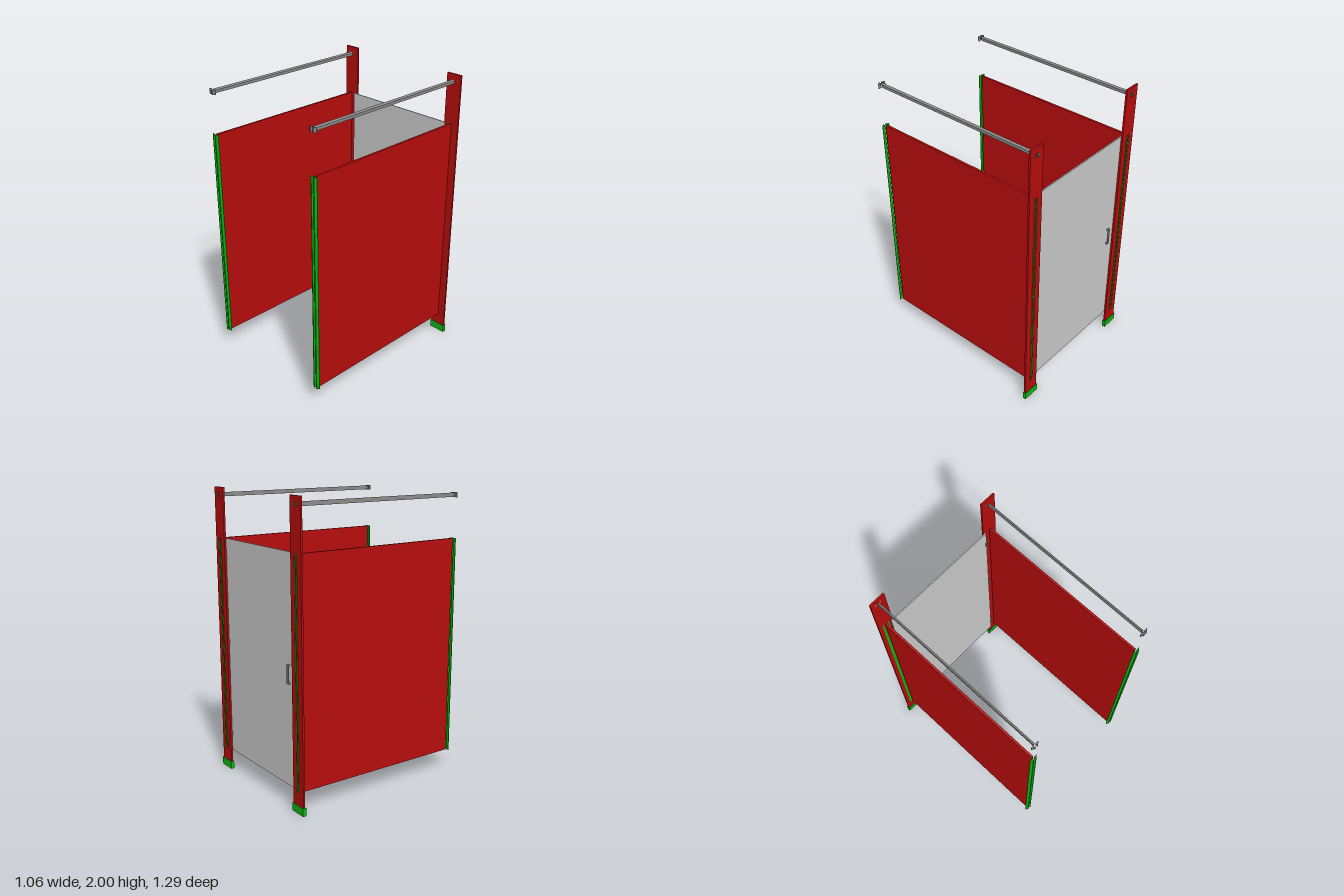
import * as THREE from 'three';

const mat = (color) => new THREE.MeshStandardMaterial({ color, side: THREE.DoubleSide });

export function createModel() {
  const root = new THREE.Group();
  const red = mat(0xb80d0d), green = mat(0x0bb512), grey = mat(0xcccccc), steel = mat(0x8c8c8c);

  const add = (name, geometry, material, parent = root) => {
    const mesh = new THREE.Mesh(geometry, material);
    mesh.name = name;
    parent.add(mesh);
    return mesh;
  };
  // box given by its limits on each axis
  const box = (name, material, [x0, x1], [y0, y1], [z0, z1], parent) => {
    const mesh = add(name, new THREE.BoxGeometry(x1 - x0, y1 - y0, z1 - z0), material, parent);
    mesh.position.set((x0 + x1) / 2, (y0 + y1) / 2, (z0 + z1) / 2);
    return mesh;
  };
  // plan outline extruded upwards; outline coordinates are (x, -z)
  const upright = (name, shape, y0, y1, material, parent) => {
    const geometry = new THREE.ExtrudeGeometry(shape, { depth: y1 - y0, bevelEnabled: false });
    geometry.rotateX(-Math.PI / 2);
    geometry.translate(0, y0, 0);
    return add(name, geometry, material, parent);
  };
  const rect = (Type, w, d) => new Type([[-w, -d], [w, -d], [w, d], [-w, d]].map((p) => new THREE.Vector2(...p)));

  // two-eared bracket: flared ears on both sides of the panel, flat face at z = 0
  const bracket = (name, x, z, facing, y0, y1, material, parent) => {
    for (const s of [-1, 1]) {
      const ear = new THREE.Shape([
        [0.008, 0], [0.028, 0], [0.028, -0.004], [0.012, -0.013], [0.012, -0.017], [0.008, -0.017],
      ].map(([a, b]) => new THREE.Vector2(s * a, b * facing)));
      upright(name, ear, y0, y1, material, parent).position.set(x, 0, z);
    }
  };
  bracket.front = -1;

  const bottom = 0.14, top = 1.66;
  for (const side of [-1, 1]) {
    const unit = new THREE.Group();
    unit.name = side > 0 ? 'leftSide' : 'rightSide';
    root.add(unit);
    const x = side * 0.467;

    // post with its floor shoe
    box('pilaster', red, [x - 0.057, x + 0.057], [0.004, 2], [-0.63, -0.617], unit);
    const shoe = rect(THREE.Shape, 0.062, 0.012);
    shoe.holes.push(rect(THREE.Path, 0.057, 0.0085));
    upright('shoe', shoe, 0, 0.055, green, unit).position.set(x, 0, -0.624);

    // partition and the full-height brackets at both ends
    box('partitionPanel', red, [x - 0.008, x + 0.008], [bottom, top], [-0.61, 0.628], unit);
    bracket('wallBracket', x, 0.635, -bracket.front, bottom, top, green, unit);
    bracket('postBracket', x, -0.617, bracket.front, bottom, top, green, unit);
    // the ears are flared towards the wall, so each end mirrors the other

    // head rail with sloped top
    const railShape = new THREE.Shape([[-0.006, 0], [0.006, 0], [0.007, 0.02], [-0.006, 0.028]]
      .map(([a, b]) => new THREE.Vector2(a, b)));
    const rail = add('headRail', new THREE.ExtrudeGeometry(railShape, { depth: 1.245, bevelEnabled: false }), steel, unit);
    rail.position.set(x, 1.936, -0.615);
    bracket('railWallBracket', x, 0.635, 1, 1.933, 1.966, steel, unit);
    bracket('railPostBracket', x, -0.617, -1, 1.933, 1.966, steel, unit);

    // screw heads on the outside of the post
    for (const y of [0.2, 0.55, 0.9, 1.27, 1.6, 1.95]) {
      for (const dx of y === 1.95 ? [-0.018, 0.018] : [0]) {
        const screw = add('screw', new THREE.CylinderGeometry(0.005, 0.005, 0.002, 12), steel, unit);
        screw.rotation.x = Math.PI / 2;
        screw.position.set(x + dx, y, -0.631);
      }
    }
  }

  // door
  box('doorLeaf', grey, [-0.43, 0.422], [bottom, top], [-0.612, -0.604]);

  // hinges
  for (const y of [0.27, 0.935, 1.525]) {
    box('hingePlate', steel, [0.412, 0.434], [y - 0.021, y + 0.021], [-0.616, -0.601]);
    const pin = add('hingePin', new THREE.CylinderGeometry(0.004, 0.004, 0.046, 12), steel);
    pin.position.set(0.426, y, -0.603);
  }

  // latch
  box('latchKeeper', steel, [-0.452, -0.428], [0.893, 0.907], [-0.617, -0.597]);
  box('latchBolt', steel, [-0.44, -0.415], [0.896, 0.905], [-0.604, -0.594]);

  // pull handles on both faces
  for (const [face, dir] of [[-0.604, 1], [-0.612, -1]]) {
    const span = (a, b) => [face + dir * a, face + dir * b].sort((p, q) => p - q);
    box('handleGrip', steel, [-0.364, -0.346], [0.83, 0.955], span(0.012, 0.016));
    for (const y of [0.83, 0.947]) box('handleFoot', steel, [-0.364, -0.346], [y, y + 0.008], span(0, 0.012));
  }
  return root;
}
